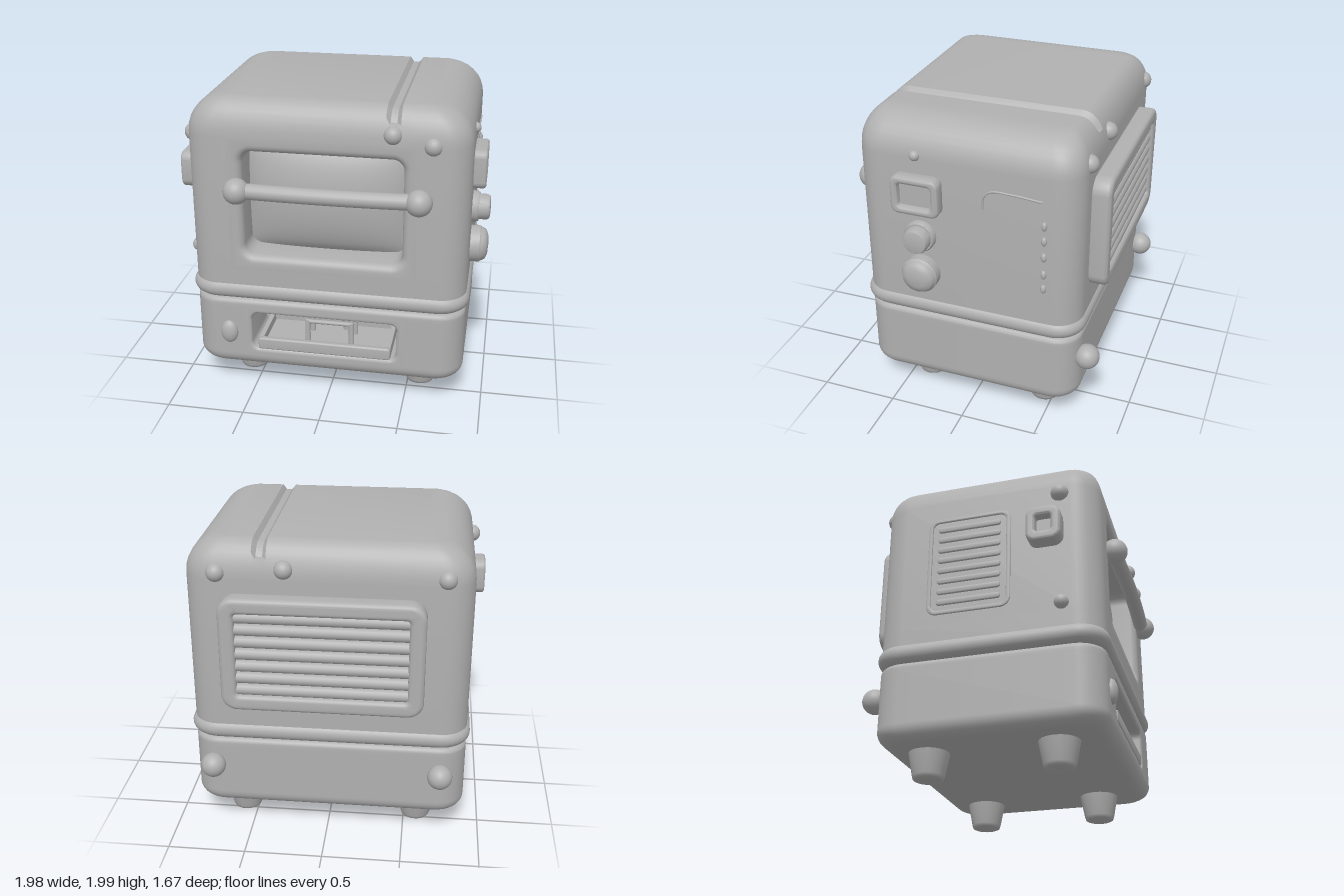
import * as THREE from 'three';
import { toCreasedNormals } from 'three/addons/utils/BufferGeometryUtils.js';

const grey = new THREE.MeshStandardMaterial({ color: 0xb0b0b0 });
grey.name = 'grey';
const CX = -0.01, HX = 0.88, HZ = 0.715, CORNER = 0.17;

export function createModel() {
  const model = new THREE.Group();

  function add(name, geo, x = 0, y = 0, z = 0, parent = model) {
    const mesh = new THREE.Mesh(geo, grey);
    mesh.name = name;
    mesh.position.set(x, y, z);
    parent.add(mesh);
    return mesh;
  }

  // Group whose local +z points out of the given side of the body
  function mount(name, turn, x, y, z) {
    const g = new THREE.Group();
    g.name = name;
    g.rotation.y = turn;
    g.position.set(x, y, z);
    model.add(g);
    return g;
  }

  function roundRect(w, h, r, Type = THREE.Shape) {
    const s = new Type(), a = w / 2, b = h / 2, q = Math.PI / 2;
    s.absarc(a - r, b - r, r, 0, q);
    s.absarc(-a + r, b - r, r, q, 2 * q);
    s.absarc(-a + r, -b + r, r, 2 * q, 3 * q);
    s.absarc(a - r, -b + r, r, 3 * q, 4 * q);
    s.closePath();
    return s;
  }

  // Bevelled plate, with an optional rounded hole, back at z = 0
  function plate(w, h, r, depth, bevel, hole) {
    const s = roundRect(w, h, r);
    if (hole) s.holes.push(roundRect(...hole, THREE.Path));
    const g = new THREE.ExtrudeGeometry(s, {
      depth: depth - 2 * bevel, bevelSize: bevel, bevelThickness: bevel, bevelSegments: 6, curveSegments: 10
    });
    return toCreasedNormals(g.translate(0, 0, bevel), 0.6);
  }

  // Rounded-rectangle sections stacked in y; rows are [y, inset x, inset z]
  function loft(rows, xs, hole, groove) {
    const pos = [], idx = [], steps = 8;
    let n = 0;
    for (const [y, ix, iz] of rows) {
      const hx = HX - ix, hz = HZ - iz;
      const rx = Math.max(CORNER - ix * 0.5, 0.05), rz = Math.max(CORNER - iz * 0.5, 0.05);
      const half = [];
      for (let i = 0; i <= steps; i++) {
        const a = i / steps * Math.PI / 2;
        half.push([CX + hx - rx + rx * Math.cos(a), hz - rz + rz * Math.sin(a)]);
      }
      for (const x of xs) half.push([x, hz]);
      for (let i = 0; i <= steps; i++) {
        const a = (1 + i / steps) * Math.PI / 2;
        half.push([CX - hx + rx + rx * Math.cos(a), hz - rz + rz * Math.sin(a)]);
      }
      const loop = half.concat(half.map(([x, z]) => [x, -z]).reverse());
      n = loop.length;
      for (const [x, z] of loop) {
        const dip = groove && y > 1.9 && Math.abs(x - groove) < 0.025 ? 0.03 : 0;
        pos.push(x, y - dip, z - Math.sign(z) * dip * 0.4);
      }
    }
    for (let r = 0; r < rows.length - 1; r++) for (let j = 0; j < n; j++) {
      const k = (j + 1) % n, a = r * n + j, b = r * n + k;
      const mx = (pos[a * 3] + pos[b * 3]) / 2, my = (rows[r][0] + rows[r + 1][0]) / 2;
      if (hole && j < n / 2 - 1 && mx > hole[0] && mx < hole[1] && my > hole[2] && my < hole[3]) continue;
      idx.push(a, a + n, b + n, a, b + n, b);
    }
    const top = (rows.length - 1) * n;
    for (let j = 0; j < n / 2 - 1; j++) {
      const m = n - 1 - j;
      idx.push(top + j, top + m, top + m - 1, top + j, top + m - 1, top + j + 1);
      idx.push(j, m - 1, m, j, j + 1, m - 1);
    }
    const g = new THREE.BufferGeometry();
    g.setAttribute('position', new THREE.Float32BufferAttribute(pos, 3));
    g.setIndex(idx);
    return toCreasedNormals(g, 0.7);
  }

  // Quarter-round rows between two heights
  function arc(y0, ry, ix, iz, bottom) {
    const rows = [];
    for (let i = 0; i <= 8; i++) {
      const a = i / 8 * Math.PI / 2, k = 1 - Math.cos(a);
      rows.push([y0 + (bottom ? -1 : 1) * ry * Math.sin(a), ix * k, iz * k]);
    }
    return bottom ? rows.reverse() : rows;
  }

  // Main shell, middle band and base
  add('upperBody', loft([[0.7, 0, 0], [0.89, 0, 0], ...arc(1.76, 0.23, 0.23, 0.15)],
    [0.56, 0.445, 0.42, 0.38, 0.355, -0.62], [-0.62, 0.56, 0.89, 1.76], 0.4));
  add('lowerBody', loft([...arc(0.26, 0.09, 0.09, 0.09, true), [0.27, 0, 0], [0.61, 0, 0], ...arc(0.63, 0.035, 0.035, 0.035)],
    [0.49, -0.54], [-0.54, 0.49, 0.27, 0.61]));
  const bulge = [];
  for (let i = 0; i <= 12; i++) {
    const a = (i / 12 - 0.5) * Math.PI;
    bulge.push([0.73 + 0.058 * Math.sin(a), 0.03 - 0.05 * Math.cos(a), 0.03 - 0.05 * Math.cos(a)]);
  }
  add('middleBand', loft(bulge, [0]));

  // Front window with a bulging pane
  add('windowSurround', plate(1.18, 0.87, 0.005, 0.27, 0.05, [1.1, 0.79, 0.12]), -0.03, 1.325, HZ - 0.27);
  const pane = new THREE.PlaneGeometry(1.04, 0.73, 24, 18), p = pane.attributes.position;
  for (let i = 0; i < p.count; i++) {
    const u = p.getX(i) / 0.52, v = p.getY(i) / 0.365;
    p.setZ(i, 0.15 * Math.sqrt(Math.max(0, (1 - u * u * 0.95) * (1 - v * v * 0.95))));
  }
  pane.computeVertexNormals();
  add('windowPane', pane, -0.03, 1.325, 0.46);

  // Handle bar with ball ends
  const ball = (r, sx = 1, sy = 1, sz = 1) => new THREE.SphereGeometry(r, 28, 20).scale(sx, sy, sz);
  const bow = new THREE.QuadraticBezierCurve3(
    new THREE.Vector3(-0.55, 1.435, 0.745), new THREE.Vector3(0.01, 1.435, 0.78), new THREE.Vector3(0.57, 1.435, 0.745));
  add('handleBar', new THREE.TubeGeometry(bow, 24, 0.05, 18));
  for (const x of [-0.55, 0.57]) add('handleBall', ball(0.082), x, 1.435, 0.757);

  // Lower slot with its tray and small wire holder
  add('slotSurround', plate(1.03, 0.34, 0.005, 0.4, 0.02, [0.99, 0.3, 0.07]), -0.025, 0.44, HZ - 0.4);
  add('slotBack', new THREE.PlaneGeometry(1, 0.31), -0.025, 0.44, 0.33);
  const tray = mount('tray', 0, -0.025, 0.35, 0.52);
  add('trayFloor', new THREE.BoxGeometry(0.87, 0.02, 0.36), 0, -0.03, 0, tray);
  add('trayFront', plate(0.85, 0.06, 0.01, 0.04, 0.01), 0, 0, 0.155, tray);
  for (const s of [-1, 1]) add('traySide', new THREE.BoxGeometry(0.03, 0.07, 0.34), s * 0.42, 0, 0, tray);
  for (const z of [0.44, 0.6]) {
    for (const x of [-0.15, 0.14]) add('holderLeg', new THREE.CylinderGeometry(0.016, 0.02, 0.17, 12), x, 0.41, z);
    add('holderRail', new THREE.CylinderGeometry(0.014, 0.014, 0.3, 12).rotateZ(Math.PI / 2), -0.005, 0.485, z);
  }
  add('holderPost', new THREE.CylinderGeometry(0.022, 0.022, 0.12, 14), 0.1, 0.48, 0.54);
  add('holderCap', new THREE.CylinderGeometry(0.04, 0.04, 0.02, 16), 0.1, 0.545, 0.54);

  // Tapered feet
  const foot = [[0, 0], [0.08, 0], [0.093, 0.006], [0.1, 0.025], [0.132, 0.19]].map(([x, y]) => new THREE.Vector2(x, y));
  for (const x of [-0.58, 0.58]) for (const z of [0.38, -0.44])
    add('foot', toCreasedNormals(new THREE.LatheGeometry(foot, 28), 0.8), x, 0, z);

  // Round studs
  const studs = [
    [0.4, 1.825, 0.69, 0.057], [0.64, 1.77, 0.69, 0.058],
    [0.66, 1.8, -0.7, 0.057], [0.25, 1.83, -0.7, 0.057], [-0.72, 1.8, -0.69, 0.057],
    [-0.73, 0.49, -0.755, 0.08], [0.73, 0.49, -0.755, 0.08],
    [-0.89, 1.71, 0.48, 0.057], [-0.9, 0.93, 0.48, 0.045], [0.865, 1.78, 0.305, 0.033]
  ];
  for (const [x, y, z, r] of studs) add('stud', ball(r), x, y, z);
  add('ovalButton', ball(0.057, 1, 1.4, 0.7), -0.65, 0.425, 0.715);

  // Back grille
  const grille = mount('backGrille', Math.PI, 0.015, 1.31, -0.7);
  add('grilleFrame', plate(1.19, 0.68, 0.07, 0.13, 0.03, [1.11, 0.6, 0.05]), 0, 0, 0, grille);
  add('grilleBack', new THREE.BoxGeometry(1.12, 0.62, 0.07), 0, 0, 0.02, grille);
  for (let i = 0; i < 7; i++) {
    const slat = new THREE.CylinderGeometry(0.038, 0.038, 1.07, 16).rotateZ(Math.PI / 2);
    add('grilleSlat', slat, 0, (i - 3) * 0.08, 0.075, grille);
  }

  // Left side: square port and shallow vent
  const port = mount('sidePort', -Math.PI / 2, -0.87, 1.45, 0.39);
  add('portFrame', plate(0.18, 0.2, 0.04, 0.12, 0.02, [0.14, 0.15, 0.035]), 0, 0, 0, port);
  add('portFace', new THREE.BoxGeometry(0.14, 0.16, 0.06), 0, 0, 0.03, port);
  const vent = mount('sideVent', -Math.PI / 2, CX - HX, 1.3, -0.11);
  add('ventRim', plate(0.53, 0.68, 0.06, 0.014, 0.006, [0.5, 0.65, 0.05]), 0, 0, -0.004, vent);
  for (let i = 0; i < 8; i++)
    add('ventRib', plate(0.4, 0.025, 0.012, 0.018, 0.007), 0, (i - 3.5) * 0.075, -0.006, vent);

  // Right side: display, button, knob and indicator row
  const panel = mount('controlPanel', Math.PI / 2, CX + HX, 0, 0);
  add('displayFrame', plate(0.27, 0.21, 0.03, 0.09, 0.02, [0.27 - 0.02, 0.19, 0.04]), -0.288, 1.543, -0.01, panel);
  add('displayFace', new THREE.BoxGeometry(0.25, 0.19, 0.06), -0.288, 1.543, 0.01, panel);
  function dial(name, pts, y) {
    const g = new THREE.LatheGeometry(pts.map(([r, h]) => new THREE.Vector2(r, h)), 36).rotateX(Math.PI / 2);
    add(name, toCreasedNormals(g, 0.7), -0.285, y, 0, panel);
  }
  dial('button', [[0.1, -0.02], [0.1, 0.03], [0.092, 0.042], [0.082, 0.042], [0.082, 0.09], [0.074, 0.108], [0.055, 0.113], [0, 0.115]], 1.25);
  dial('knob', [[0.118, -0.02], [0.118, 0.06], [0.11, 0.068], [0.108, 0.075], [0.095, 0.097], [0.06, 0.11], [0, 0.114]], 0.99);
  for (const y of [1.46, 1.36, 1.25, 1.13, 1.03]) add('indicator', ball(0.03, 0.6, 1, 0.6), 0.502, y, 0, panel);
  const trim = new THREE.CatmullRomCurve3([[0.12, 1.5], [0.125, 1.58], [0.17, 1.625], [0.3, 1.63], [0.49, 1.615]]
    .map(([x, y]) => new THREE.Vector3(x, y, 0)));
  add('sideTrim', new THREE.TubeGeometry(trim, 24, 0.007, 8), 0, 0, 0, panel);

  return model;
}
